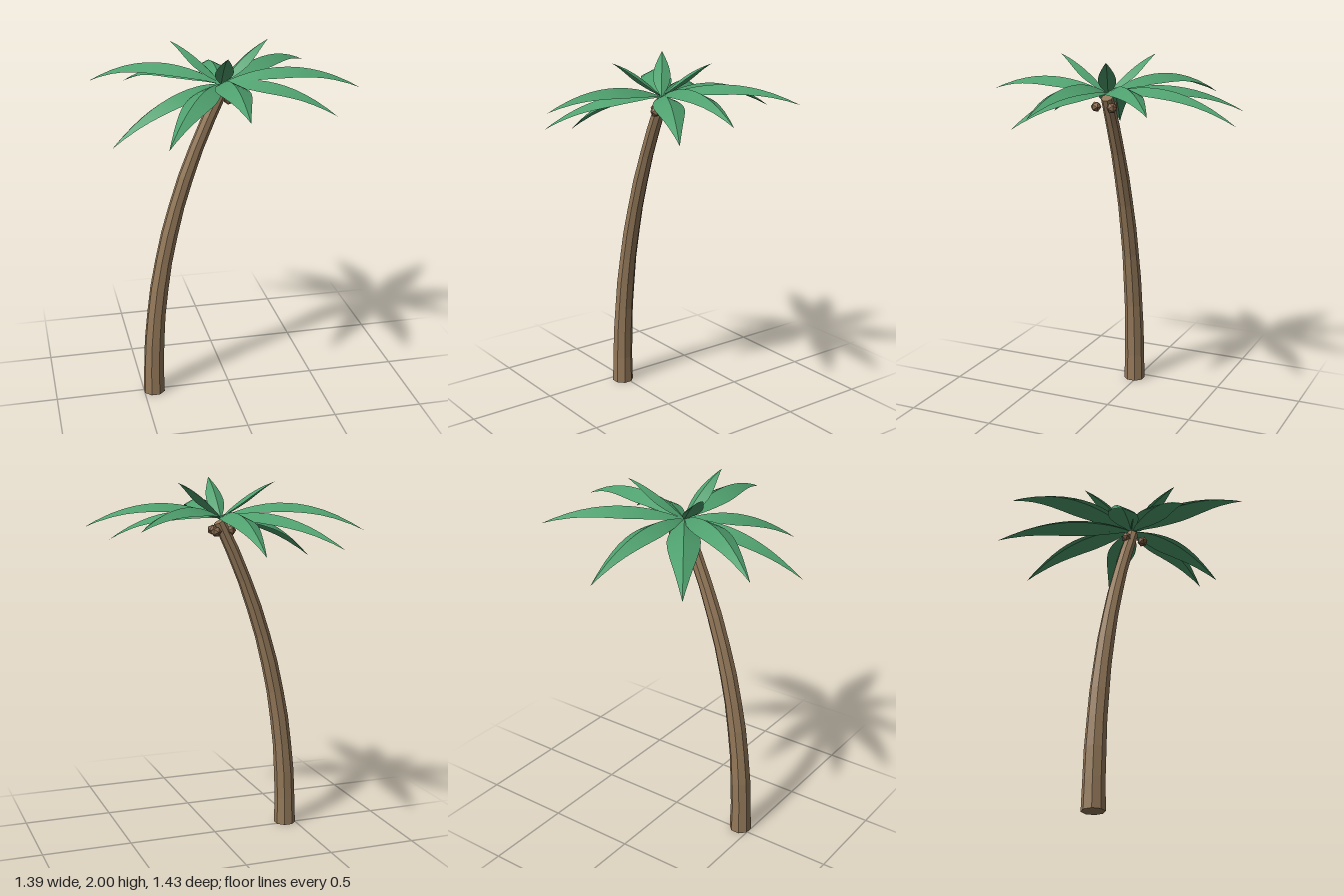
import * as THREE from 'three';

const bark = new THREE.MeshStandardMaterial({ color: 0x937859 });
bark.name = 'bark brown';
const husk = new THREE.MeshStandardMaterial({ color: 0x856549 });
husk.name = 'husk brown';
const leaf = new THREE.MeshStandardMaterial({ color: 0x4fa06e, side: THREE.DoubleSide });
leaf.name = 'palm green';

const CROWN = new THREE.Vector3(-0.04, 1.8, 0.015);

function addMesh(parent, name, geometry, material) {
  const mesh = new THREE.Mesh(geometry, material);
  mesh.name = name;
  parent.add(mesh);
  return mesh;
}

// Octagonal trunk: a cylinder whose rings taper and follow a leaning curve
function trunkGeometry() {
  const height = 1.78, lean = 0.41, power = 2.2;
  const geo = new THREE.CylinderGeometry(1, 1, 1, 8, 11);
  geo.rotateY(Math.PI / 8);
  const pos = geo.attributes.position;
  for (let i = 0; i < pos.count; i++) {
    const s = pos.getY(i) + 0.5;
    const ring = Math.round(s * 11);
    const r = (0.061 - 0.027 * s) * (ring % 2 ? 0.985 : 1.015);
    const tilt = Math.atan(lean * power * Math.pow(s, power - 1) / height);
    const x = pos.getX(i) * r, z = pos.getZ(i) * r;
    pos.setXYZ(i,
      -0.442 + lean * Math.pow(s, power) + x * Math.cos(tilt),
      height * s - x * Math.sin(tilt),
      0.017 + z);
  }
  const flat = geo.toNonIndexed();
  flat.computeVertexNormals();
  return flat;
}

// Half width along a frond, from its stalk to its pointed tip
const OUTLINE = new THREE.SplineCurve([
  [0, 0.08], [0.1, 0.42], [0.22, 0.78], [0.4, 1], [0.58, 0.86], [0.78, 0.48], [1, 0],
].map(([x, y]) => new THREE.Vector2(x, y)));

// Arched frond folded along its midrib; each half is its own smooth strip
function frondGeometry(tip, bendY, halfWidth) {
  const mid = CROWN.clone().lerp(tip, 0.5).setY(bendY);
  const path = new THREE.QuadraticBezierCurve3(CROWN, mid, tip);
  const side = new THREE.Vector3(tip.z - CROWN.z, 0, CROWN.x - tip.x).normalize();
  const steps = 14, positions = [], index = [];
  for (const sign of [1, -1]) {
    const base = positions.length / 3;
    for (let i = 0; i <= steps; i++) {
      const o = OUTLINE.getPoint(i / steps);
      const rib = path.getPoint(o.x);
      const up = path.getTangent(o.x).cross(side);
      const w = halfWidth * Math.max(o.y, 0);
      const edge = rib.clone().addScaledVector(side, sign * w).addScaledVector(up, -0.5 * w);
      positions.push(...rib.toArray(), ...edge.toArray());
      if (i === steps) continue;
      const a = base + i * 2, b = a + 1, c = a + 2, d = a + 3;
      if (sign > 0) index.push(a, c, b, b, c, d);
      else index.push(a, b, c, b, d, c);
    }
  }
  const geo = new THREE.BufferGeometry();
  geo.setAttribute('position', new THREE.Float32BufferAttribute(positions, 3));
  geo.setIndex(index);
  geo.computeVertexNormals();
  return geo;
}

export function createModel() {
  const model = new THREE.Group();
  model.name = 'palmTree';

  addMesh(model, 'trunk', trunkGeometry(), bark);

  // Coconuts clustered around the top of the trunk
  const coconuts = new THREE.Group();
  coconuts.name = 'coconuts';
  model.add(coconuts);
  for (const degrees of [188, 68, -52]) {
    const a = THREE.MathUtils.degToRad(degrees);
    const nut = addMesh(coconuts, 'coconut', new THREE.IcosahedronGeometry(0.03, 0), husk);
    nut.position.set(-0.036 + 0.06 * Math.cos(a), 1.73, 0.02 + 0.058 * Math.sin(a));
    nut.rotation.y = a;
  }

  // Fronds: tip x, y, z, height of the bend, half width
  const fronds = new THREE.Group();
  fronds.name = 'fronds';
  model.add(fronds);
  const long = [
    [-0.01, 1.675, -0.72, 1.94, 0.078],
    [0.54, 1.79, -0.45, 1.965, 0.082],
    [0.69, 1.765, 0.12, 1.985, 0.082],
    [0.51, 1.67, 0.31, 1.905, 0.08],
    [-0.05, 1.79, 0.715, 1.96, 0.085],
    [-0.41, 1.62, 0.53, 1.87, 0.08],
    [-0.65, 1.545, 0.21, 1.85, 0.08],
    [-0.7, 1.75, -0.38, 1.995, 0.085],
    [-0.48, 1.68, -0.615, 1.92, 0.085],
  ];
  const young = [
    [-0.28, 2, -0.165, 1.95, 0.048],
    [0.24, 2, 0.1 * -1, 1.95, 0.048],
    [-0.07, 2, 0.31, 1.95, 0.048],
  ];
  const addFronds = (rows, name) => rows.forEach(([x, y, z, bend, w]) =>
    addMesh(fronds, name, frondGeometry(new THREE.Vector3(x, y, z), bend, w), leaf));
  addFronds(long, 'frond');
  addFronds(young, 'youngFrond');

  return model;
}
